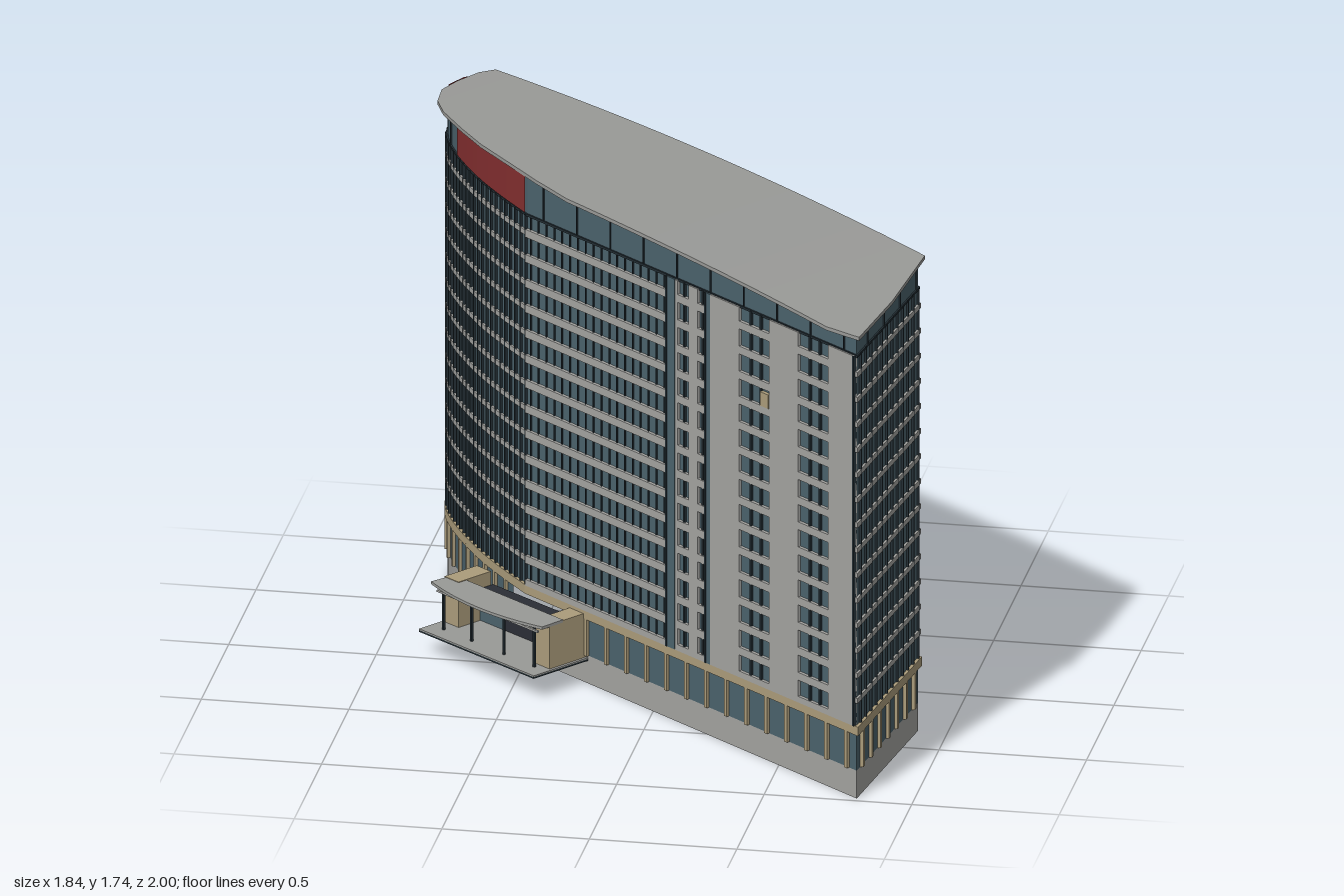
import * as THREE from 'three';
import { mergeGeometries } from 'three/addons/utils/BufferGeometryUtils.js';

const mat = (name, color, side = THREE.FrontSide) => {
  const m = new THREE.MeshStandardMaterial({ color, side });
  m.name = name;
  return m;
};
const M = {
  glass: mat('blue grey glass', 0x4b626c, THREE.DoubleSide),
  frame: mat('dark frame', 0x222d33),
  stone: mat('grey stone', 0xa3a3a0, THREE.DoubleSide),
  tan: mat('tan stone', 0xab9c7b),
  red: mat('red panel', 0x842f30, THREE.DoubleSide),
  roof: mat('roof grey', 0x999a97),
  dark: mat('dark glass', 0x2b2e36),
};

// Plan: long straight front, slanted end, straight back, rounded nose
const SLOPE = 0.8, FRONT_Z = 0.332, K = Math.hypot(1, SLOPE);
const front = x => [x, FRONT_Z + SLOPE * x];
const nose = new THREE.CatmullRomCurve3([
  [-0.78, -0.968], [-0.83, -0.945], [-0.872, -0.89], [-0.896, -0.82], [-0.893, -0.73],
  [-0.86, -0.63], [-0.8, -0.505], [-0.7, -0.335], [-0.6, -0.195], front(-0.5),
].map(([x, z]) => new THREE.Vector3(x, 0, z))).getSpacedPoints(32).map(p => [p.x, p.z]);
const END = [[0.81, 0.98], [0.9, 0.342]];
const PLAN = [...END, ...nose];

// Long axis of the building, and height of the gently arched roof
const AX = 0.794, AZ = 0.608;
const toUV = ([x, z]) => [x * AX + z * AZ, -x * AZ + z * AX];
const roofY = p => 1.74 - 0.0277 * (toUV(p)[0] + 0.45) ** 2;

function offset(path, d, closed = true) {
  const n = path.length;
  const normal = (a, b) => {
    const dx = b[0] - a[0], dz = b[1] - a[1], l = Math.hypot(dx, dz);
    return [-dz / l, dx / l];
  };
  return path.map((p, i) => {
    const prev = i > 0 ? path[i - 1] : closed ? path[n - 1] : null;
    const next = i < n - 1 ? path[i + 1] : closed ? path[0] : null;
    const a = prev ? normal(prev, p) : normal(p, next);
    const b = next ? normal(p, next) : a;
    const s = d / (1 + a[0] * b[0] + a[1] * b[1]);
    return [p[0] + (a[0] + b[0]) * s, p[1] + (a[1] + b[1]) * s];
  });
}

function quads(list) {
  const pos = [];
  for (const [a, b, c, d] of list) pos.push(...a, ...b, ...c, ...a, ...c, ...d);
  const g = new THREE.BufferGeometry();
  g.setAttribute('position', new THREE.Float32BufferAttribute(pos, 3));
  g.computeVertexNormals();
  return g;
}

// Upright sheet along a path, with a level top or one that follows a rule
const height = (top, p) => (typeof top === 'function' ? top(p) : top);
function wall(path, y0, top, closed = true) {
  const list = [];
  for (let i = 0; i < path.length - (closed ? 0 : 1); i++) {
    const a = path[i], b = path[(i + 1) % path.length];
    const steps = Math.ceil(Math.hypot(b[0] - a[0], b[1] - a[1]) / 0.25);
    const at = t => [a[0] + (b[0] - a[0]) * t, a[1] + (b[1] - a[1]) * t];
    for (let s = 0; s < steps; s++) {
      const p = at(s / steps), q = at((s + 1) / steps);
      list.push([[p[0], y0, p[1]], [q[0], y0, q[1]], [q[0], height(top, q), q[1]], [p[0], height(top, p), p[1]]]);
    }
  }
  return quads(list);
}

// Horizontal slab, either solid or a ring around the plan
function slab(outer, inner, y0, y1) {
  const pts = path => path.map(([x, z]) => new THREE.Vector2(x, -z));
  const shape = new THREE.Shape(pts(outer));
  if (inner) shape.holes.push(new THREE.Path(pts(inner)));
  return new THREE.ExtrudeGeometry(shape, { depth: y1 - y0, bevelEnabled: false })
    .rotateX(-Math.PI / 2).translate(0, y0, 0);
}

// Uprights spaced evenly along an open path
function posts(path, spacing, w, d, y0, top) {
  const out = [];
  let carry = spacing / 2;
  for (let i = 0; i < path.length - 1; i++) {
    const [a, b] = [path[i], path[i + 1]];
    const dx = b[0] - a[0], dz = b[1] - a[1], l = Math.hypot(dx, dz);
    for (; carry < l; carry += spacing) {
      const p = [a[0] + dx * carry / l, a[1] + dz * carry / l];
      const y1 = height(top, p);
      out.push(new THREE.BoxGeometry(w, y1 - y0, d).rotateY(Math.atan2(-dz, dx))
        .translate(p[0], (y0 + y1) / 2, p[1]));
    }
    carry -= l;
  }
  return out;
}

// Box given by its two corners
const box = (x0, x1, y0, y1, z0, z1) => new THREE.BoxGeometry(x1 - x0, y1 - y0, z1 - z0)
  .translate((x0 + x1) / 2, (y0 + y1) / 2, (z0 + z1) / 2);

export function createModel() {
  const model = new THREE.Group();
  const add = (name, geo, material, parent = model) => {
    const mesh = new THREE.Mesh(Array.isArray(geo) ? mergeGeometries(geo) : geo, material);
    mesh.name = name;
    parent.add(mesh);
  };
  const backPath = [END[1], nose[0]];
  const backPart = (s, t) => [s, t].map(k => backPath[0].map((c, i) => c + (backPath[1][i] - c) * k));
  const under = p => roofY(p) - 0.012;

  // Plinth and ground floor, left open at the entrance
  add('plinth', wall(PLAN, 0, 0.1), M.stone);
  add('groundGlass', wall([front(-0.36), ...END, ...nose.slice(0, -3)], 0.1, 0.24, false), M.glass);
  add('groundColumns', [
    ...posts([front(-0.3), END[0]], 0.102, 0.014, 0.022, 0.1, 0.24),
    ...posts(END, 0.09, 0.016, 0.022, 0.1, 0.24),
    ...posts(backPath, 0.085, 0.014, 0.022, 0.1, 0.24),
    ...posts(nose.slice(0, -4), 0.08, 0.014, 0.022, 0.1, 0.24),
  ], M.tan);
  add('podiumBand', slab(offset(PLAN, 0.011), offset(PLAN, -0.012), 0.232, 0.264), M.tan);
  add('podiumCeiling', slab(offset(PLAN, -0.01), null, 0.24, 0.25), M.stone);

  // Tower glazing, floor bands and mullions
  add('towerGlass', wall(PLAN, 0.25, 1.59), M.glass);
  const bands = [];
  for (let i = 0; i < 14; i++) {
    const y = 0.346 + i * 0.09;
    bands.push(slab(offset(PLAN, 0.008), offset(PLAN, -0.005), y, y + 0.018));
  }
  add('floorBands', bands, M.stone);
  add('towerMullions', [
    ...posts(nose, 0.036, 0.005, 0.018, 0.264, 1.59),
    ...posts(END, 0.055, 0.005, 0.016, 0.264, 1.59),
    ...posts(backPath, 0.11, 0.004, 0.014, 0.264, 1.59),
    ...posts(backPart(0.27, 0.44), 0.045, 0.005, 0.018, 0.264, 1.59),
    ...posts(backPart(0.72, 0.86), 0.045, 0.005, 0.018, 0.264, 1.59),
    ...posts([front(-0.5), front(0.055)], 0.04, 0.004, 0.01, 0.264, 1.59),
  ], M.frame);

  // Stone front: full piers plus spandrels between the windows
  const facade = new THREE.Group();
  facade.name = 'frontFacade';
  facade.position.z = FRONT_Z;
  facade.rotation.y = -Math.atan(SLOPE);
  model.add(facade);
  const panel = (x0, x1, y0, y1, d = 0.012) => box((x0 + 0.007) * K, (x1 + 0.007) * K, y0, y1, -0.002, d);
  const piers = [[0.09, 0.1], [0.145, 0.18], [0.23, 0.345], [0.465, 0.58], [0.7, 0.803]];
  add('piers', piers.map(([a, b]) => panel(a, b, 0.262, 1.59)), M.stone, facade);
  const spandrels = [];
  for (const [a, b] of [[-0.505, 0.055], [0.1, 0.145], [0.18, 0.21], [0.345, 0.465], [0.58, 0.7]]) {
    spandrels.push(panel(a, b, 0.262, 0.284));
    for (let i = 0; i < 14; i++) spandrels.push(panel(a, b, 0.342 + i * 0.09, 0.37 + i * 0.09));
  }
  add('spandrels', spandrels, M.stone, facade);
  add('stairGlass', [[0.058, 0.088], [0.212, 0.23]].map(([a, b]) => panel(a, b, 0.262, 1.59)), M.glass, facade);
  add('windowPosts', [0.056, 0.123, 0.196, 0.211, 0.387, 0.428, 0.622, 0.662, 0.8]
    .map(x => panel(x - 0.003, x + 0.003, 0.262, 1.59, x === 0.8 || x === 0.056 || x === 0.211 ? 0.014 : 0.009)), M.frame, facade);
  add('tanWindowPanel', panel(0.43, 0.463, 1.27, 1.32, 0.014), M.tan, facade);

  // Top storey with red panels
  add('topBand', slab(offset(PLAN, 0.006), offset(PLAN, -0.02), 1.585, 1.593), M.frame);
  add('topGlass', wall(PLAN, 1.59, under), M.glass);
  add('topMullions', posts([front(-0.5), ...END, ...nose], 0.17, 0.004, 0.01, 1.59, under), M.frame);
  const sign = nose.filter(([, z]) => z > -0.545);
  add('redSign', wall(offset(sign, 0.009, false), 1.597, p => under(p) - 0.001, false), M.red);
  add('redNoseStrip', wall([[-0.81, -0.982], [-0.878, -0.935], [-0.914, -0.86]], 0.1, p => roofY(p) - 0.008, false), M.red);

  // Arched roof, built from slices across the long axis
  const outline = [
    [-0.78, -1], [-0.83, -0.968], [-0.886, -0.88], [-0.924, -0.79], [-0.918, -0.68], [-0.88, -0.58],
    [-0.79, -0.43], [-0.7, -0.295], [-0.61, -0.185], [-0.46, -0.005], [-0.33, 0.135], [0, 0.397], [0.7, 0.943],
    [0.82, 0.99], [0.875, 0.68], [0.915, 0.3],
  ].map(toUV);
  const us = outline.map(p => p[0]);
  for (let i = 1; i < 24; i++) us.push(-1.2 + i * 0.1);
  us.sort((a, b) => a - b);
  const slices = us.map(u => {
    const vs = [];
    outline.forEach((a, i) => {
      const b = outline[(i + 1) % outline.length];
      if ((a[0] - u) * (b[0] - u) <= 0 && a[0] !== b[0]) vs.push(a[1] + (b[1] - a[1]) * (u - a[0]) / (b[0] - a[0]));
    });
    const corner = (v, drop) => {
      const p = [u * AX - v * AZ, u * AZ + v * AX];
      return [p[0], roofY(p) - drop, p[1]];
    };
    const lo = Math.min(...vs), hi = Math.max(...vs);
    return [corner(lo, 0), corner(hi, 0), corner(hi, 0.013), corner(lo, 0.013)];
  });
  const faces = [];
  for (let i = 0; i < slices.length - 1; i++) {
    const a = slices[i], b = slices[i + 1];
    for (let k = 0; k < 4; k++) faces.push([a[k], a[(k + 1) % 4], b[(k + 1) % 4], b[k]]);
  }
  add('roof', quads(faces), M.roof);

  // Entrance porch, parallel to the long axis
  const porch = new THREE.Group();
  porch.name = 'entrancePorch';
  porch.rotation.y = -Math.atan2(AZ, AX);
  model.add(porch);
  add('porchBlocks', [box(-0.69, -0.62, 0.09, 0.255, 0.25, 0.395), box(-0.21, -0.14, 0.09, 0.25, 0.24, 0.42)], M.tan, porch);
  const bow = [[-0.68, 0.36]];
  for (let i = 0; i <= 12; i++) bow.push([-0.69 + i * 0.046, 0.455 + 0.16 * (i / 12) * (1 - i / 12)]);
  bow.push([-0.14, 0.36]);
  add('canopy', slab(bow, null, 0.243, 0.253), M.roof, porch);
  add('canopyBeams', [box(-0.66, -0.16, 0.2, 0.216, 0.385, 0.4), box(-0.66, -0.16, 0.225, 0.232, 0.45, 0.457)], M.stone, porch);
  const step = [[-0.7, 0.25], [-0.7, 0.5], [-0.13, 0.5], [-0.13, 0.25]];
  add('porchStepBase', slab(step, null, 0.081, 0.087), M.frame, porch);
  add('porchStep', slab(step, null, 0.087, 0.092), M.roof, porch);
  add('porchPosts', [-0.64, -0.5, -0.34, -0.19].map(x => box(x - 0.004, x + 0.004, 0.09, 0.245, 0.44, 0.448)), M.frame, porch);
  add('porchRoofGlass', box(-0.62, -0.21, 0.198, 0.206, 0.24, 0.36), M.dark, porch);
  add('doors', box(-0.51, -0.36, 0.092, 0.198, 0.29, 0.298), M.dark, porch);
  add('sideGlazing', [box(-0.62, -0.51, 0.092, 0.198, 0.29, 0.298), box(-0.36, -0.21, 0.092, 0.198, 0.29, 0.298)], M.glass, porch);
  return model;
}
